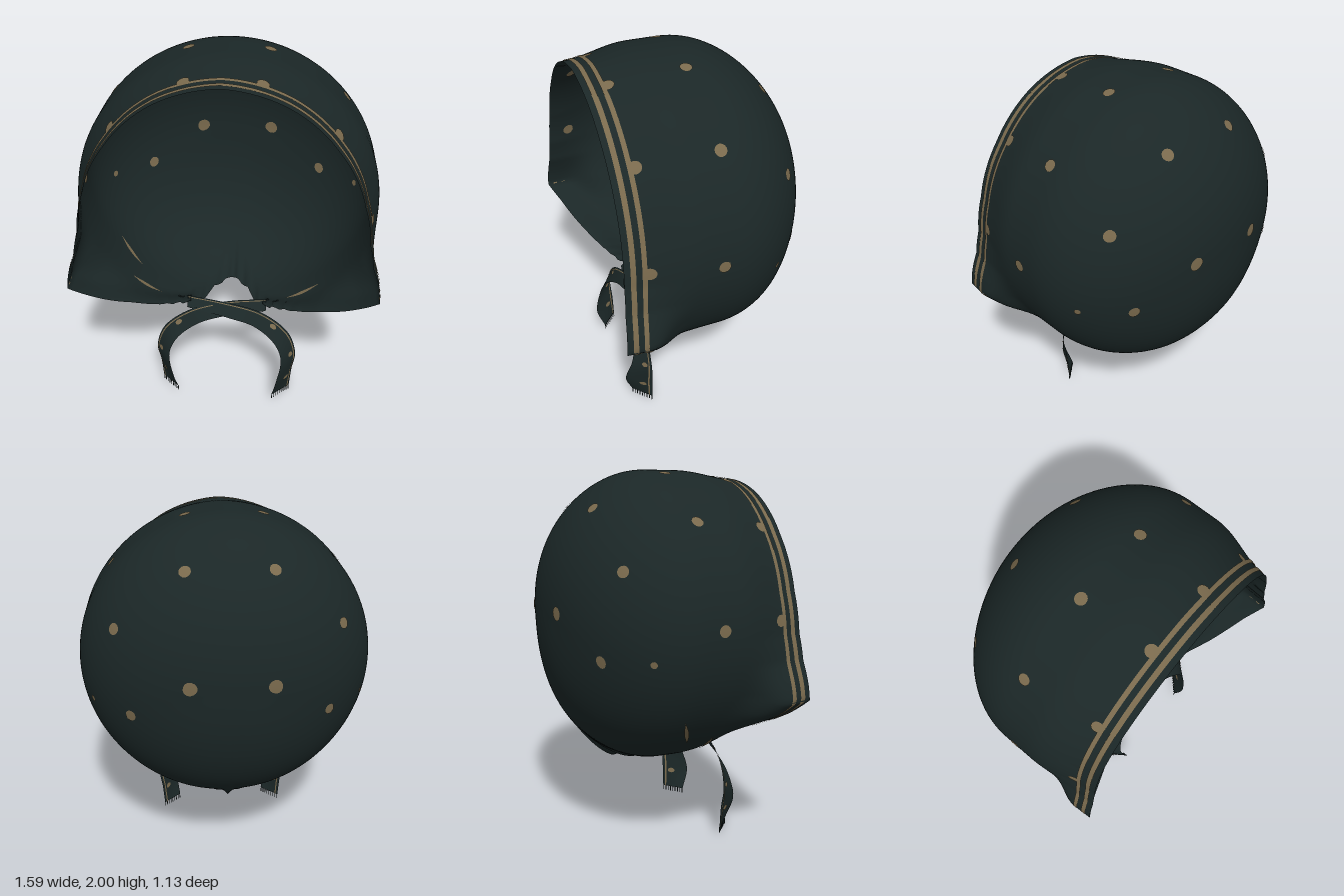
import * as THREE from 'three';
import { mergeVertices } from 'three/addons/utils/BufferGeometryUtils.js';

const DEPTH = 0.57, RADIUS = 0.778, CY = 1.222, RAD = Math.PI / 180;
const { smoothstep, clamp, lerp } = THREE.MathUtils;

// Open edge of the bonnet: angle from the top (degrees), radius, z
const EDGE = [
  [0, 0.738, 0.525], [25, 0.722, 0.525], [50, 0.698, 0.525], [75, 0.692, 0.53], [92, 0.71, 0.54],
  [102, 0.755, 0.55], [109, 0.82, 0.56], [114, 0.86, 0.565], [122, 0.82, 0.51], [137, 0.725, 0.43],
  [154, 0.675, 0.33], [162, 0.66, 0.28], [165, 0.76, 0.2], [168, 0.782, 0.1], [173, 0.782, -0.07],
  [180, 0.78, -0.18],
];

function edgeAt(theta) {
  const a = Math.min(Math.abs(theta) / RAD, 180);
  let i = 0;
  while (i < EDGE.length - 2 && a > EDGE[i + 1][0]) i++;
  const p = EDGE[i], q = EDGE[i + 1], t = (a - p[0]) / (q[0] - p[0]);
  return { r: lerp(p[1], q[1], t), z: lerp(p[2], q[2], t) };
}

// phi runs straight along z in front of 0 and round the back behind it
const zOf = (phi) => (phi < 0 ? -DEPTH * phi : -DEPTH * Math.sin(phi));
const phiOf = (z) => (z > 0 ? -z / DEPTH : Math.asin(Math.min(1, -z / DEPTH)));
const lift = (z) => (z < 0 ? 0.06 * (z / DEPTH) ** 4 : 0);

function baseRadius(theta, phi) {
  if (phi < 0) return RADIUS;
  const low = smoothstep(Math.abs(theta) / RAD, 100, 170);
  return RADIUS * Math.pow(Math.max(0, Math.cos(phi)), 1 - 0.22 * low);
}

function surface(theta, phi) {
  const e = edgeAt(theta), z = zOf(phi), deg = Math.abs(theta) / RAD;
  const span = 0.36 - 0.12 * smoothstep(deg, 115, 150);
  const w = 1 - smoothstep(e.z - z, 0, span);
  const gather = 0.012 * smoothstep(deg, 140, 165) * Math.cos(70 * (Math.PI - Math.abs(theta)));
  // Soft swelling of the cheek behind the brim
  const cheek = 0.035 * Math.exp(-(((deg - 116) / (deg < 116 ? 9 : 16)) ** 2))
    * Math.exp(-(((e.z - z - 0.15) / 0.09) ** 2));
  const r = baseRadius(theta, phi) + cheek + w * (e.r - baseRadius(theta, phiOf(e.z)) + gather);
  return new THREE.Vector3(r * Math.sin(theta), CY + lift(z) + r * Math.cos(theta), z);
}

// Point lifted off the cloth along its normal
function offsetPoint(theta, phi, off) {
  const h = 0.004, p = surface(theta, phi);
  const du = surface(theta + h, phi).sub(surface(theta - h, phi));
  const dv = surface(theta, phi + h).sub(surface(theta, phi - h));
  const n = du.cross(dv).normalize();
  if (n.x * p.x + n.y * (p.y - CY) + n.z * Math.min(p.z, 0) < 0) n.negate();
  return p.addScaledVector(n, off);
}

function grid(nu, nv, f) {
  const pos = [], idx = [];
  for (let i = 0; i <= nu; i++)
    for (let j = 0; j <= nv; j++) pos.push(...f(i / nu, j / nv).toArray());
  for (let i = 0; i < nu; i++)
    for (let j = 0; j < nv; j++) {
      const a = i * (nv + 1) + j, b = a + nv + 1;
      idx.push(a, b, a + 1, b, b + 1, a + 1);
    }
  let g = new THREE.BufferGeometry();
  g.setAttribute('position', new THREE.Float32BufferAttribute(pos, 3));
  g.setIndex(idx);
  g = mergeVertices(g, 1e-5);
  g.computeVertexNormals();
  return g;
}

// Ribbon path and half-width vectors, for the tie that ends on -x
const TIE_PATH = [[0.22, 0.58, 0.26], [0, 0.565, 0.29], [-0.18, 0.52, 0.32], [-0.31, 0.42, 0.345],
  [-0.355, 0.3, 0.36], [-0.335, 0.18, 0.375], [-0.32, 0.055, 0.355]];
const TIE_WIDTH = [[0, -0.022, 0.025], [0, -0.027, 0.03], [0.02, -0.035, 0.02], [0.035, -0.022, 0.03],
  [0.04, 0, 0.045], [0.045, 0, 0.065], [0.05, 0, 0.045]];

// Printed dots: x, y, z and radius, mirrored left and right
const DOTS = [[0.2, 1.77, -0.355, 0.03], [0.2, 1.29, -0.55, 0.036], [0.56, 1.52, -0.335, 0.03],
  [0.475, 1.1, -0.425, 0.03], [0.71, 1.1, -0.24, 0.017], [0.2, 1.98, 0.04, 0.03],
  [0.59, 1.75, 0.03, 0.03], [0.77, 1.25, 0.08, 0.03], [0.18, 1.95, 0.41, 0.032],
  [0.54, 1.72, 0.41, 0.032], [0.73, 1.27, 0.42, 0.032]];

// Dots drawn out by the gathers: side, angles from and to, z from and to
const STREAKS = [[1, 139, 155, 0.12, 0.12], [-1, 136, 150, 0.16, 0.16], [-1, 124, 138, -0.05, 0.02]];

export function createModel() {
  const cloth = new THREE.MeshStandardMaterial({ color: 0x1b2727, side: THREE.DoubleSide });
  cloth.name = 'dark green cloth';
  const tan = new THREE.MeshStandardMaterial({ color: 0x7a6a4d, side: THREE.DoubleSide });
  tan.name = 'tan print';

  const model = new THREE.Group();
  model.name = 'bonnet';
  const add = (name, geo, mat, parent = model) => {
    const m = new THREE.Mesh(geo, mat);
    m.name = name;
    parent.add(m);
    return m;
  };

  // Cap, from the open edge to the middle of the back
  add('cap', grid(240, 56, (u, v) => {
    const theta = (u * 2 - 1) * Math.PI, start = phiOf(edgeAt(theta).z);
    return surface(theta, start + (Math.PI / 2 - start) * v);
  }), cloth);

  // Two printed stripes on the outside, behind the brim
  for (const [near, far] of [[0.03, 0.055], [0.083, 0.105]])
    add('brimStripe', grid(160, 2, (u, v) => {
      const theta = (u * 2 - 1) * 131 * RAD;
      return offsetPoint(theta, phiOf(edgeAt(theta).z - near - (far - near) * v), 0.004);
    }), tan);

  // Dots and streaks show on both faces of the cloth
  for (const off of [0.004, -0.004]) {
    for (const side of [1, -1])
      for (const [x, y, z, size] of DOTS) {
        const theta = Math.atan2(x * side, y - CY - lift(z)), phi = phiOf(z);
        const r = baseRadius(theta, phi);
        const step = surface(theta, phi + 0.01).distanceTo(surface(theta, phi - 0.01)) / 0.02;
        add('dot', grid(14, 2, (u, v) => {
          const a = u * Math.PI * 2;
          return offsetPoint(theta + size * v * Math.cos(a) / r, phi + size * v * Math.sin(a) / step, off);
        }), tan);
      }
    for (const [side, from, to, z0, z1] of STREAKS)
      add('streak', grid(12, 2, (u, v) => {
        const half = 0.013 * Math.sin(Math.PI * clamp(u, 0.05, 0.95));
        return offsetPoint(side * lerp(from, to, u) * RAD, phiOf(lerp(z0, z1, u) + half * (v * 2 - 1)), off);
      }), tan);
  }

  // Ties crossing under the chin, each with printed marks and a frayed end
  for (const side of [1, -1]) {
    const tie = new THREE.Group();
    tie.name = side > 0 ? 'rightTie' : 'leftTie';
    model.add(tie);
    const curve = (pts, drop) => new THREE.CatmullRomCurve3(pts.map(([x, y, z], i) =>
      new THREE.Vector3(x * side, y - (drop && i > 4 ? 0.025 : 0), z + (drop && i === 1 ? 0.012 : 0))));
    const path = curve(TIE_PATH, side < 0), width = curve(TIE_WIDTH, false);
    const at = (t, s, off = 0) => {
      const w = width.getPoint(t);
      const n = path.getTangent(t).cross(w).normalize();
      return path.getPoint(t).addScaledVector(w, s).addScaledVector(n, off);
    };
    add('ribbon', grid(48, 4, (u, v) => at(u, v * 2 - 1)), cloth, tie);
    for (const off of [0.003, -0.003]) {
      add('ribbonLine', grid(48, 1, (u, v) => at(u, -0.8 + v * 0.12, off)), tan, tie);
      for (const t of [0.42, 0.66, 0.86])
        add('ribbonDot', grid(10, 1, (u, v) => {
          const a = u * Math.PI * 2;
          return at(t + 0.02 * v * Math.cos(a), -0.3 + 0.28 * v * Math.sin(a), off);
        }), tan, tie);
    }
    for (let i = 0; i < 9; i++) {
      const p = at(1, -0.95 + i * 0.237);
      const thread = add('fringe', new THREE.BoxGeometry(0.004, 0.03, 0.004), cloth, tie);
      thread.position.set(p.x, p.y - 0.014, p.z);
    }
  }
  return model;
}
